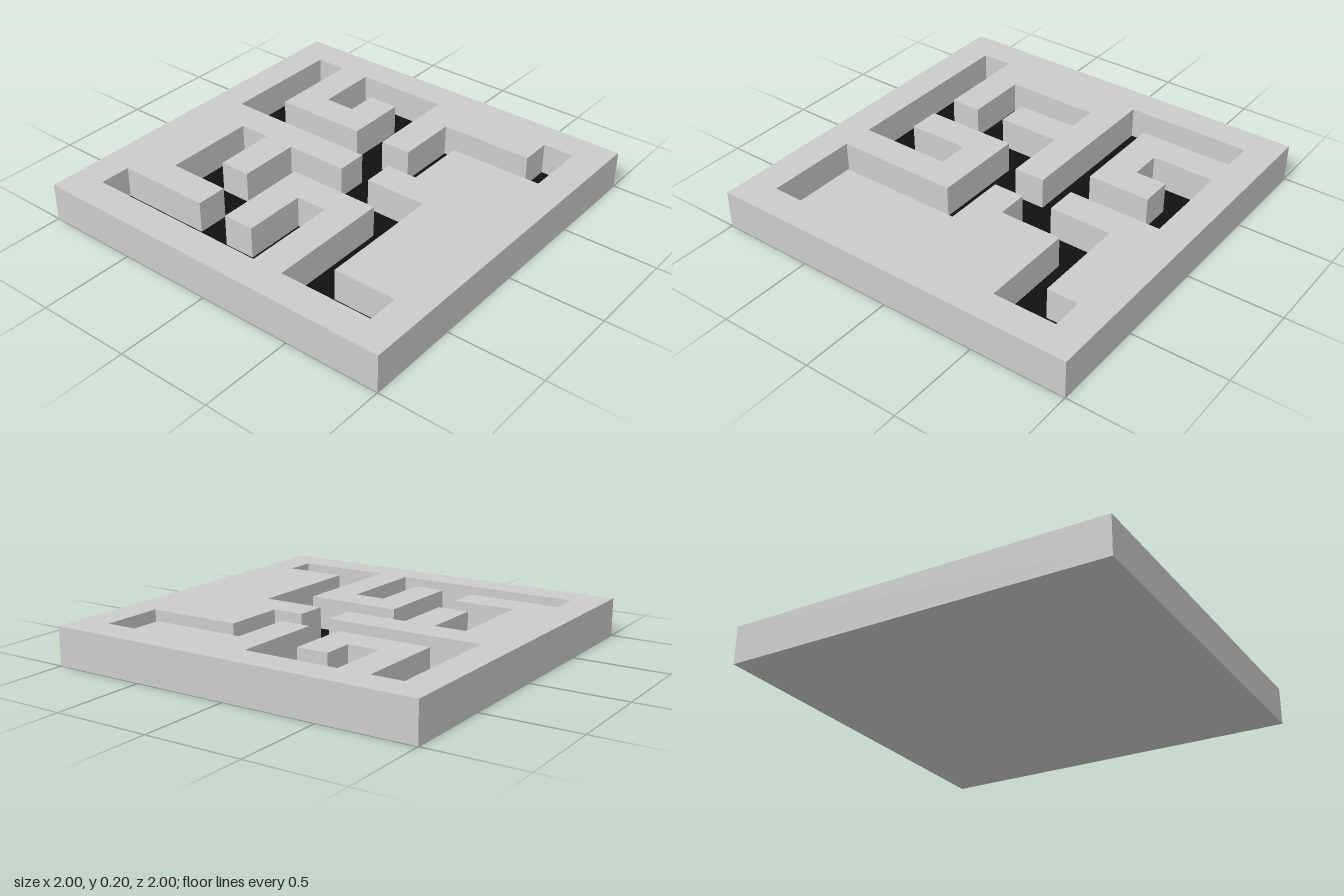
import * as THREE from 'three';

const CELL = 1 / 6;      // the square is 12 x 12 cells
const FLOOR = 0.2 - CELL; // base plate thickness
const toUnits = (g) => g * CELL - 1;

// Corridor outline on the grid: right-angled corners, so x and z take turns from (1, 1).
const TURNS = [
  2, 4, 3, 2, 6, 3, 4, 4, 6, 6, 7, 1, 11, 2, 8, 5, 10, 4, 9, 3, 11, 6,
  8, 7, 10, 10, 11, 11, 9, 8, 7, 7, 6, 9, 2, 11, 1, 8, 5, 5, 2, 6, 4, 7, 1,
];

function corridorPath() {
  const path = new THREE.Path();
  let x = 1, z = 1;
  path.moveTo(toUnits(x), -toUnits(z));
  TURNS.forEach((value, i) => {
    if (i % 2 === 0) x = value;
    else z = value;
    path.lineTo(toUnits(x), -toUnits(z));
  });
  path.closePath();
  return path;
}

export function createModel() {
  const group = new THREE.Group();
  group.name = 'mazeBoard';
  const grey = new THREE.MeshStandardMaterial({ color: 0xcccccc, flatShading: true });
  const black = new THREE.MeshStandardMaterial({ color: 0x111111, flatShading: true });

  // Base plate, its top face black where the corridors expose it
  const base = new THREE.Mesh(
    new THREE.BoxGeometry(2, FLOOR, 2),
    [grey, grey, black, grey, grey, grey],
  );
  base.name = 'basePlate';
  base.position.y = FLOOR / 2;
  group.add(base);

  // Wall slab with the corridors cut through it
  const slab = new THREE.Shape([
    new THREE.Vector2(-1, -1), new THREE.Vector2(1, -1),
    new THREE.Vector2(1, 1), new THREE.Vector2(-1, 1),
  ]);
  slab.holes.push(corridorPath());
  const wallGeometry = new THREE.ExtrudeGeometry(slab, { depth: CELL, bevelEnabled: false });
  wallGeometry.rotateX(-Math.PI / 2);
  const walls = new THREE.Mesh(wallGeometry, grey);
  walls.name = 'mazeWalls';
  walls.position.y = FLOOR;
  group.add(walls);

  return group;
}
